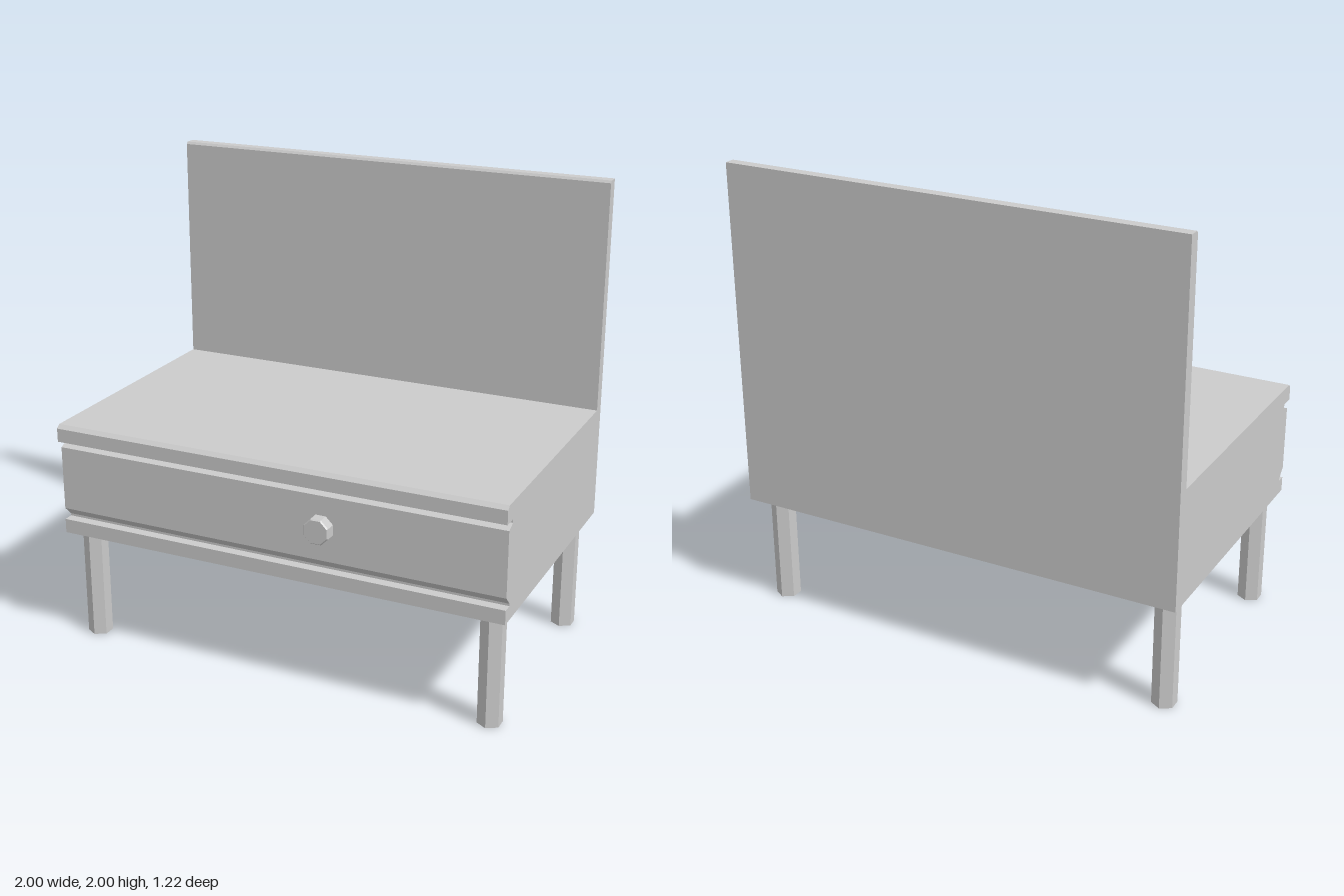
import * as THREE from 'three';

const material = new THREE.MeshStandardMaterial({ color: 0xcccccc, flatShading: true });

function add(parent, name, geometry, x = 0, y = 0, z = 0) {
  const mesh = new THREE.Mesh(geometry, material);
  mesh.name = name;
  mesh.position.set(x, y, z);
  parent.add(mesh);
  return mesh;
}

export function createModel() {
  const model = new THREE.Group();
  model.name = 'benchWithDrawer';

  // Side profile (z, y): lower lip, grooved drawer front, seat and tall back
  const profile = [
    [-0.612, 0.5], [0.566, 0.5], [0.566, 0.562], [0.523, 0.562], [0.523, 0.572],
    [0.563, 0.612], [0.563, 0.893], [0.523, 0.911], [0.523, 0.926], [0.586, 0.926],
    [0.586, 0.985], [0.568, 1.0], [-0.558, 1.0], [-0.558, 1.99], [-0.566, 2.0], [-0.612, 2.0],
  ];
  const shape = new THREE.Shape(profile.map(([z, y]) => new THREE.Vector2(z, y)));
  const body = new THREE.ExtrudeGeometry(shape, { depth: 2, bevelEnabled: false });
  body.rotateY(-Math.PI / 2).translate(1, 0, 0);
  add(model, 'seatAndBack', body);

  // Hexagonal legs
  const leg = new THREE.CylinderGeometry(0.053, 0.053, 0.5, 6);
  for (const x of [-0.919, 0.919]) {
    add(model, 'frontLeg', leg, x, 0.25, 0.464);
    add(model, 'backLeg', leg, x, 0.25, -0.489);
  }

  // Octagonal drawer knob with a chamfered rim
  const knobProfile = [[0.058, 0], [0.058, 0.046], [0.053, 0.052], [0, 0.052]];
  const knob = new THREE.LatheGeometry(knobProfile.map(([r, h]) => new THREE.Vector2(r, h)), 8);
  knob.rotateY(Math.PI / 8).rotateX(Math.PI / 2);
  add(model, 'drawerKnob', knob, 0.218, 0.755, 0.561);

  return model;
}
